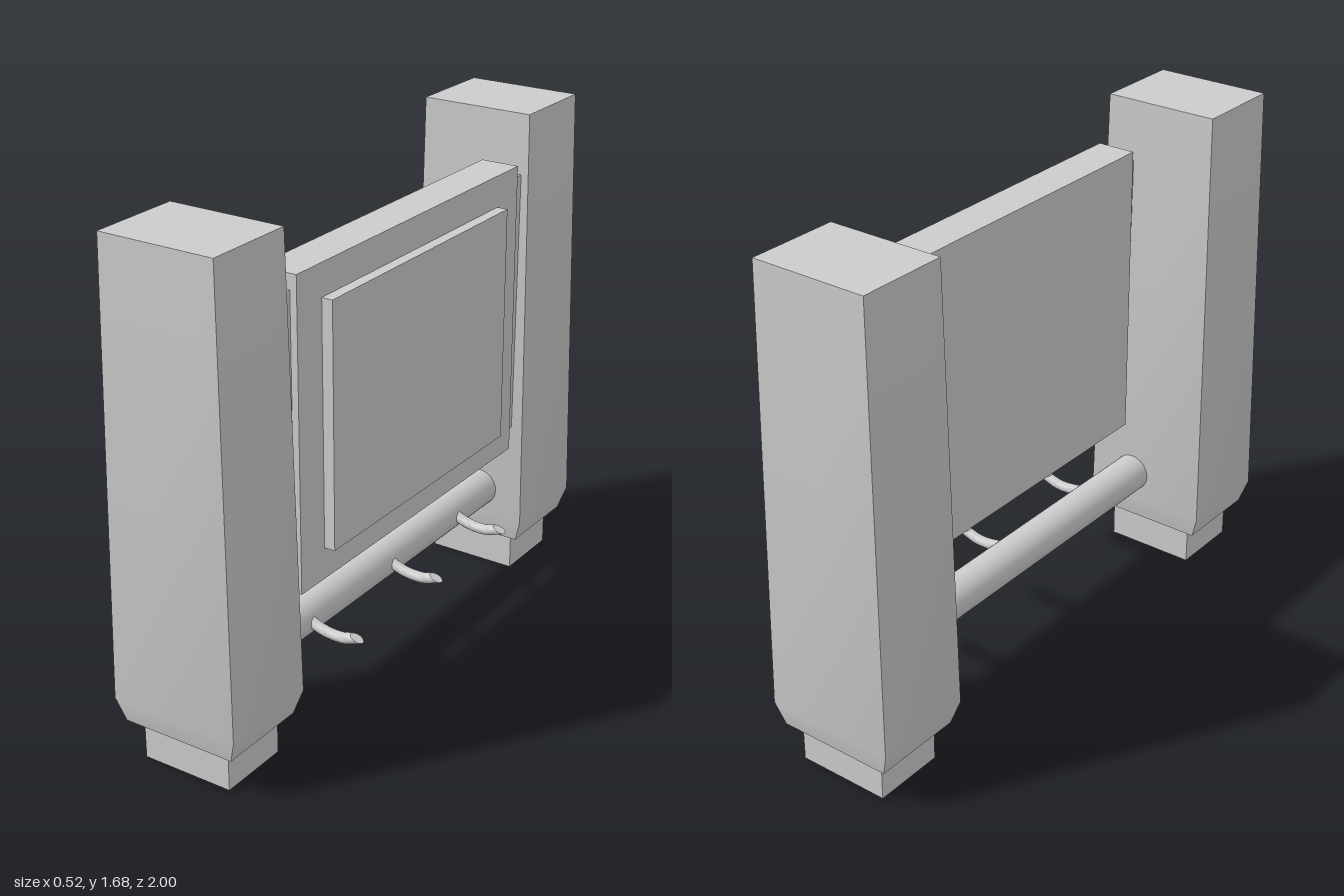
import * as THREE from 'three';
import { toCreasedNormals } from 'three/addons/utils/BufferGeometryUtils.js';

const material = new THREE.MeshStandardMaterial({ color: 0xcccccc });

function add(group, name, geometry) {
  const mesh = new THREE.Mesh(geometry, material);
  mesh.name = name;
  group.add(mesh);
  return mesh;
}

// Box given by its lower and upper limits on each axis
function addBox(group, name, [x0, x1], [y0, y1], [z0, z1]) {
  const mesh = add(group, name, new THREE.BoxGeometry(x1 - x0, y1 - y0, z1 - z0));
  mesh.position.set((x0 + x1) / 2, (y0 + y1) / 2, (z0 + z1) / 2);
}

// Tapered post body: narrow bottom, widest just above it, narrowing to the top
function postGeometry() {
  const geometry = new THREE.BoxGeometry(2, 2, 2, 1, 2, 1);
  const p = geometry.attributes.position;
  const levels = [[0.135, 0.197, 0.155], [0.215, 0.223, 0.173], [1.685, 0.198, 0.155]];
  for (let i = 0; i < p.count; i++) {
    const [y, halfX, halfZ] = levels[Math.round(p.getY(i)) + 1];
    p.setXYZ(i, p.getX(i) * halfX, y, p.getZ(i) * halfZ);
  }
  return toCreasedNormals(geometry, Math.PI / 5);
}

// Sagging peg with a slanted, closed tip
function pegGeometry() {
  const r = 0.018, rings = 14, sides = 12;
  const path = new THREE.CatmullRomCurve3([
    new THREE.Vector3(0.04, 0.33, 0),
    new THREE.Vector3(0.11, 0.303, 0),
    new THREE.Vector3(0.18, 0.298, 0),
    new THREE.Vector3(0.237, 0.314, 0),
  ]);
  const geometry = new THREE.TubeGeometry(path, rings, r, sides);
  const p = geometry.attributes.position;
  for (let j = 0; j <= sides; j++) {
    const a = (rings - 1) * (sides + 1) + j;
    const b = rings * (sides + 1) + j;
    // Last ring but one becomes the slanted rim, the last one its centre
    const z = p.getZ(b);
    const t = Math.sqrt(Math.max(0, 1 - (z / r) ** 2)) * Math.sign(p.getY(b) - 0.314);
    p.setXYZ(a, 0.237 - 0.022 * t, 0.314 + 0.01 * t, z);
    p.setXYZ(b, 0.237, 0.314, 0);
  }
  return toCreasedNormals(geometry, Math.PI / 5);
}

export function createModel() {
  const model = new THREE.Group();
  model.name = 'postStand';

  // Two posts, each on a smaller foot block
  const post = postGeometry();
  for (const side of [1, -1]) {
    const label = side > 0 ? 'front' : 'back';
    const body = add(model, label + 'Post', post);
    body.position.set(-0.043, 0, side * 0.827);
    const foot = [side * 0.704, side * 0.948].sort((a, b) => a - b);
    addBox(model, label + 'Foot', [-0.2, 0.117], [0, 0.137], foot);
  }

  // Board, the tongues joining it to the posts, and its raised panel
  addBox(model, 'board', [0.022, 0.155], [0.52, 1.53], [-0.605, 0.62]);
  addBox(model, 'frontTongue', [0.053, 0.132], [0.575, 1.48], [0.6, 0.69]);
  addBox(model, 'backTongue', [0.053, 0.132], [0.575, 1.48], [-0.69, -0.59]);
  addBox(model, 'raisedPanel', [0.15, 0.192], [0.625, 1.425], [-0.48, 0.5]);

  // Round rail below the board
  const rail = add(model, 'rail', new THREE.CylinderGeometry(0.065, 0.065, 1.36, 32));
  rail.rotation.x = Math.PI / 2;
  rail.position.set(0.013, 0.315, 0);

  // Pegs on the rail
  const peg = pegGeometry();
  [0.45, -0.006, -0.41].forEach((z, i) => {
    add(model, 'peg' + (i + 1), peg).position.z = z;
  });

  return model;
}
